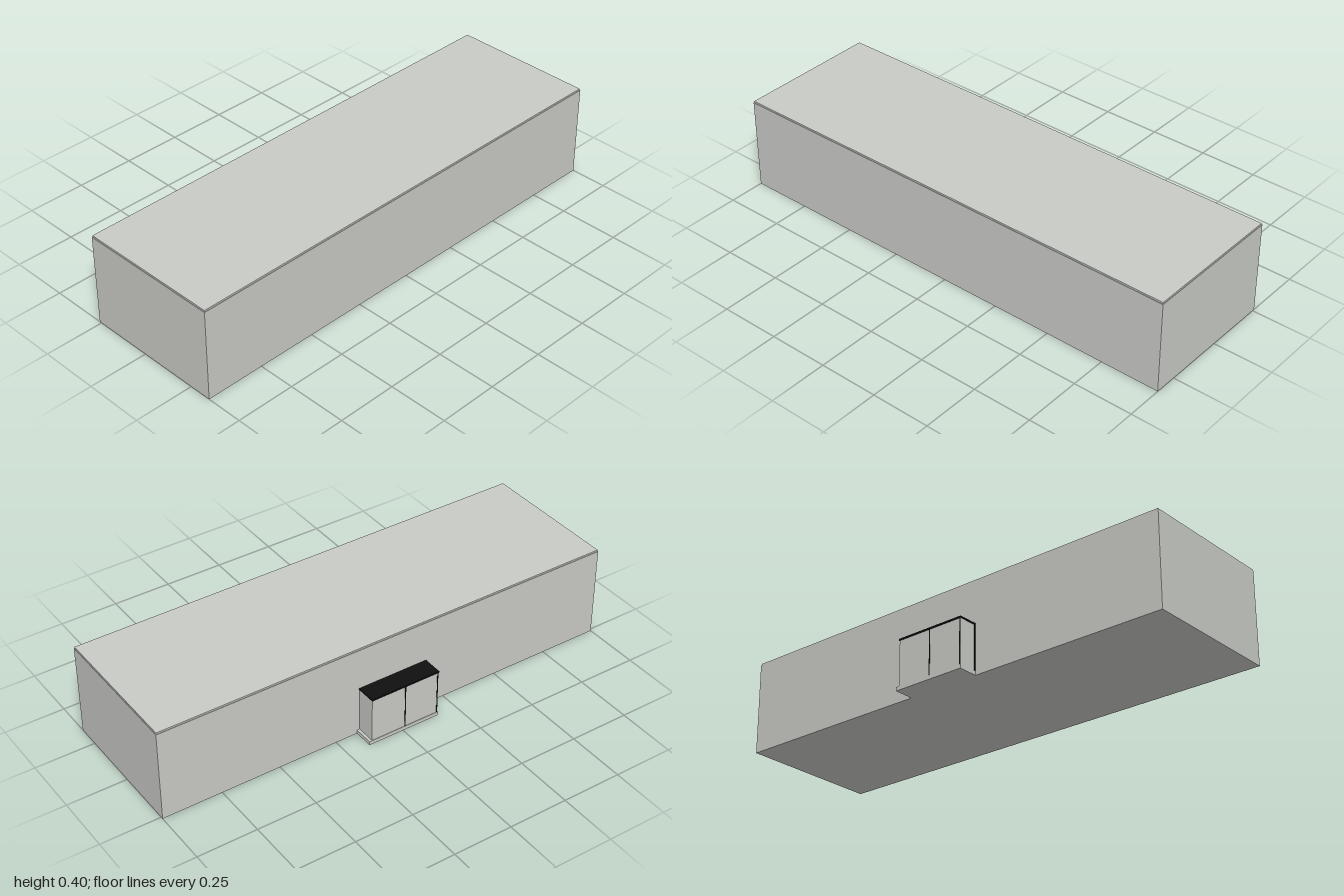
import * as THREE from 'three';

export function createModel() {
  const group = new THREE.Group();
  const grey = new THREE.MeshStandardMaterial({ color: 0xc8cac5 });
  grey.name = 'light grey';
  const black = new THREE.MeshStandardMaterial({ color: 0x101010 });
  black.name = 'black';

  // Box given by its minimum and maximum corners
  function box(name, material, [x0, y0, z0], [x1, y1, z1]) {
    const geometry = new THREE.BoxGeometry(x1 - x0, y1 - y0, z1 - z0);
    const mesh = new THREE.Mesh(geometry, material);
    mesh.position.set((x0 + x1) / 2, (y0 + y1) / 2, (z0 + z1) / 2);
    mesh.name = name;
    group.add(mesh);
  }

  // Main hall with a slightly inset roof edge
  box('hall', grey, [-1, 0, -0.26], [1, 0.388, 0.345]);
  box('hallRoof', grey, [-0.998, 0.388, -0.258], [0.998, 0.395, 0.343]);

  // Entrance porch on the back wall
  box('porchStep', grey, [-0.163, 0, -0.344], [0.155, 0.016, -0.26]);
  box('porchWalls', grey, [-0.161, 0.016, -0.342], [0.143, 0.205, -0.26]);
  box('porchRoof', black, [-0.163, 0.205, -0.345], [0.145, 0.212, -0.26]);

  // Thin dark joints: door centre, door edge and where the side meets the hall
  for (const x of [-0.009, -0.158]) {
    box('doorJoint', black, [x - 0.002, 0.016, -0.3435], [x + 0.002, 0.205, -0.3415]);
  }
  box('sideJoint', black, [-0.1625, 0.016, -0.266], [-0.16, 0.205, -0.26]);

  return group;
}
